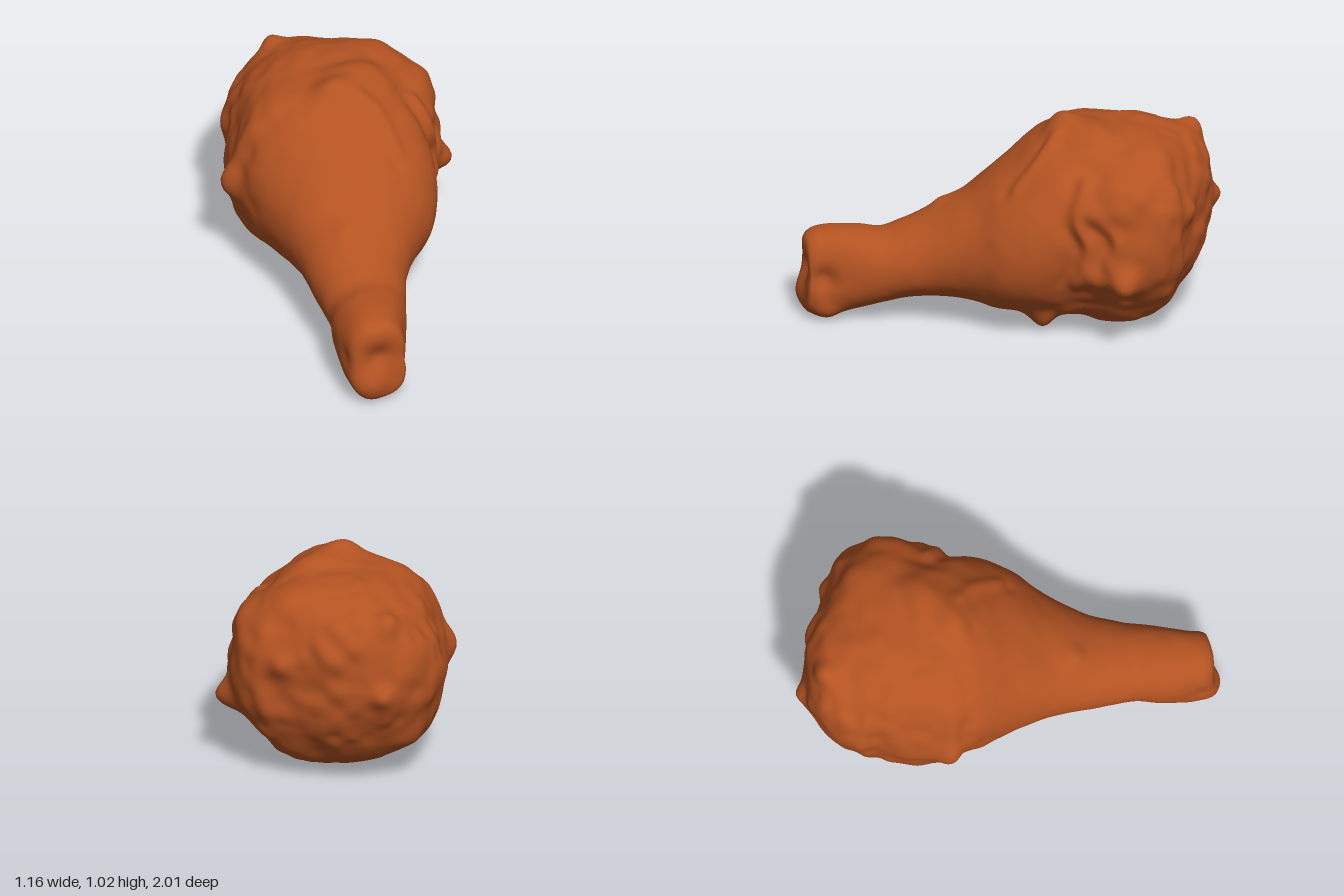
import * as THREE from 'three';

// cross-sections along the leg: z, xMin, xMax, yMin, yMax
const SECTIONS = [
  [-0.955, -0.15, -0.11, 0.55, 0.59], [-0.945, -0.22, -0.03, 0.45, 0.72], [-0.91, -0.3, 0.08, 0.35, 0.83],
  [-0.86, -0.36, 0.18, 0.26, 0.885], [-0.8, -0.41, 0.29, 0.18, 0.91], [-0.7, -0.44, 0.465, 0.09, 0.95],
  [-0.6, -0.475, 0.515, 0.045, 0.975], [-0.47, -0.505, 0.51, 0.02, 0.98], [-0.33, -0.52, 0.46, 0.035, 0.98],
  [-0.2, -0.495, 0.42, 0.05, 0.96], [-0.1, -0.46, 0.41, 0.06, 0.9], [0, -0.42, 0.385, 0.08, 0.81],
  [0.1, -0.385, 0.335, 0.09, 0.73], [0.2, -0.36, 0.25, 0.115, 0.64], [0.3, -0.345, 0.175, 0.125, 0.58],
  [0.4, -0.335, 0.12, 0.12, 0.52], [0.5, -0.325, 0.085, 0.11, 0.475], [0.6, -0.315, 0.055, 0.09, 0.44],
  [0.7, -0.33, 0.03, 0.065, 0.445], [0.8, -0.338, 0, 0.035, 0.45], [0.88, -0.335, -0.025, 0.012, 0.445],
  [0.94, -0.32, -0.035, 0.025, 0.425], [0.97, -0.28, -0.06, 0.06, 0.38], [0.975, -0.19, -0.15, 0.2, 0.25],
];

// lumps and dents: x, y, z, radius, height
const BUMPS = [
  [-0.08, 0.97, -0.24, 0.07, 0.035], [0, 0.97, -0.25, 0.08, 0.03], [0.12, 0.98, -0.36, 0.1, 0.025],
  [0.19, 0.07, -0.11, 0.075, 0.075], [0.31, 0.14, -0.2, 0.06, 0.02],
  [-0.52, 0.5, -0.33, 0.08, 0.04], [0.5, 0.37, -0.46, 0.07, 0.1], [0.45, 0.38, -0.33, 0.07, 0.03],
  [-0.13, 0.53, -0.95, 0.05, 0.035], [-0.18, 0.88, -0.87, 0.06, 0.04], [0.32, 0.65, -0.78, 0.06, 0.035],
  [0.1, 0.35, -0.88, 0.09, 0.02], [0.12, 0.72, -0.88, 0.07, 0.02], [-0.42, 0.55, -0.78, 0.08, 0.02],
  [-0.3, 0.25, -0.78, 0.08, 0.03], [0.3, 0.9, -0.64, 0.1, 0.025], [0.44, 0.77, -0.47, 0.13, 0.055],
  [-0.38, 0.83, -0.62, 0.09, 0.015], [-0.16, 0.56, 0.33, 0.045, 0.012], [-0.4, 0.17, -0.5, 0.15, 0.045],
  [0.43, 0.7, -0.3, 0.06, 0.03], [0.4, 0.2, -0.6, 0.15, -0.03], [0.38, 0.2, -0.4, 0.12, -0.02],
  // two knuckles of the bone end and the hollow between them
  [-0.22, 0.11, 0.97, 0.08, 0.035], [-0.2, 0.37, 0.97, 0.07, 0.01], [-0.18, 0.26, 0.97, 0.06, -0.03],
  [-0.04, 0.24, 0.9, 0.06, -0.035], [-0.06, 0.06, 0.88, 0.06, 0.025], [-0.33, 0.23, 0.9, 0.06, -0.015],
  [-0.32, 0.05, 0.9, 0.06, -0.015],
];

// folded skin edges: path points, radius, height (a dent follows just in front)
const FOLDS = [
  { path: [[0.06, 0.96, -0.2], [0.14, 0.86, -0.1], [0.18, 0.72, 0.02]], r: 0.035, h: 0.022 },
  { path: [[0.34, 0.83, -0.3], [0.42, 0.68, -0.23], [0.43, 0.52, -0.3], [0.41, 0.32, -0.23]], r: 0.035, h: 0.026 },
  { path: [[0.42, 0.64, -0.36], [0.49, 0.58, -0.43], [0.49, 0.46, -0.38]], r: 0.035, h: 0.022 },
  { path: [[0.32, 0.17, -0.26], [0.2, 0.07, -0.12], [0, 0.06, -0.18], [-0.2, 0.1, -0.2]], r: 0.035, h: 0.015 },
  { path: [[-0.2, 0.9, -0.3], [-0.4, 0.78, -0.3], [-0.51, 0.55, -0.33], [-0.44, 0.26, -0.36]], r: 0.04, h: 0.014 },
  { path: [[0.38, 0.78, -0.7], [0.44, 0.55, -0.74], [0.36, 0.3, -0.72]], r: 0.04, h: 0.015 },
  { path: [[-0.38, 0.75, -0.7], [-0.44, 0.5, -0.74], [-0.36, 0.25, -0.68]], r: 0.04, h: 0.015 },
];

for (const { path, r, h } of FOLDS) {
  const curve = new THREE.CatmullRomCurve3(path.map((p) => new THREE.Vector3(...p)));
  const n = Math.ceil(curve.getLength() / r);
  for (const p of curve.getSpacedPoints(n)) {
    BUMPS.push([p.x, p.y, p.z, r, h * 0.55], [p.x, p.y, p.z + r * 1.7, r, -h * 0.3]);
  }
}

// smooth seeded noise in space
function hash(x, y, z) {
  const s = Math.sin(x * 127.1 + y * 311.7 + z * 74.7) * 43758.5453;
  return (s - Math.floor(s)) * 2 - 1;
}
function noise(x, y, z) {
  const c = [x, y, z].map(Math.floor);
  const f = [x - c[0], y - c[1], z - c[2]].map((t) => t * t * (3 - 2 * t));
  let sum = 0;
  for (let k = 0; k < 8; k++) {
    const b = [k & 1, (k >> 1) & 1, k >> 2];
    const w = b.reduce((a, on, i) => a * (on ? f[i] : 1 - f[i]), 1);
    sum += w * hash(c[0] + b[0], c[1] + b[1], c[2] + b[2]);
  }
  return sum;
}

// Catmull-Rom interpolation of the section table
function sectionAt(t) {
  const last = SECTIONS.length - 1;
  const i = Math.min(Math.floor(t * last), last - 1);
  const u = t * last - i;
  const at = (k) => SECTIONS[Math.max(0, Math.min(last, k))];
  const [a, b, c, d] = [at(i - 1), at(i), at(i + 1), at(i + 2)];
  return b.map((v, k) => v + 0.5 * u * (c[k] - a[k]
    + u * (2 * a[k] - 5 * v + 4 * c[k] - d[k] + u * (3 * (v - c[k]) + d[k] - a[k]))));
}

function legGeometry(rows = 230, sides = 150) {
  const pos = [];
  const index = [];
  const { smoothstep } = THREE.MathUtils;
  for (let j = 0; j <= rows; j++) {
    const [z, x0, x1, y0, y1] = sectionAt(j / rows);
    // rounder shank, boxier bone end and meat
    const power = 0.96 - 0.12 * smoothstep(z, 0.55, 0.85) - 0.06 * (1 - smoothstep(z, -0.5, 0));
    const round = (v) => Math.sign(v) * Math.abs(v) ** power;
    for (let i = 0; i < sides; i++) {
      const a = (i / sides) * Math.PI * 2;
      pos.push((x0 + x1) / 2 + ((x1 - x0) / 2) * round(Math.cos(a)),
        (y0 + y1) / 2 + ((y1 - y0) / 2) * round(Math.sin(a)), z);
      if (j === rows) continue;
      const p = j * sides + i;
      const q = j * sides + ((i + 1) % sides);
      index.push(p, q, q + sides, p, q + sides, p + sides);
    }
  }
  // close both ends
  for (const j of [0, rows]) {
    const [z, x0, x1, y0, y1] = sectionAt(j / rows);
    const centre = pos.length / 3;
    pos.push((x0 + x1) / 2, (y0 + y1) / 2, z);
    for (let i = 0; i < sides; i++) {
      const p = j * sides + i;
      const q = j * sides + ((i + 1) % sides);
      index.push(centre, ...(j ? [p, q] : [q, p]));
    }
  }
  const geo = new THREE.BufferGeometry();
  geo.setAttribute('position', new THREE.Float32BufferAttribute(pos, 3));
  geo.setIndex(index);
  geo.computeVertexNormals();

  // push the skin in and out along its normals
  const P = geo.attributes.position;
  const N = geo.attributes.normal;
  for (let i = 0; i < P.count; i++) {
    const [x, y, z] = [P.getX(i), P.getY(i), P.getZ(i)];
    const rough = 1 - smoothstep(z, -0.35, 0);
    let d = (0.004 + 0.007 * rough) * noise(x * 6 + 9, y * 6, z * 6)
      + (0.002 + 0.008 * rough) * noise(x * 13, y * 13 + 5, z * 13);
    for (const [bx, by, bz, r, h] of BUMPS) {
      const q = ((x - bx) ** 2 + (y - by) ** 2 + (z - bz) ** 2) / (r * r);
      if (q < 6) d += h * Math.exp(-q);
    }
    P.setXYZ(i, x + N.getX(i) * d, y + N.getY(i) * d, z + N.getZ(i) * d);
  }
  geo.computeVertexNormals();
  return geo;
}

export function createModel() {
  const group = new THREE.Group();
  group.name = 'friedDrumstick';
  const crust = new THREE.MeshStandardMaterial({ color: 0xb45322 });
  crust.name = 'crispy brown';
  const leg = new THREE.Mesh(legGeometry(), crust);
  leg.name = 'drumstick';
  group.add(leg);
  return group;
}
